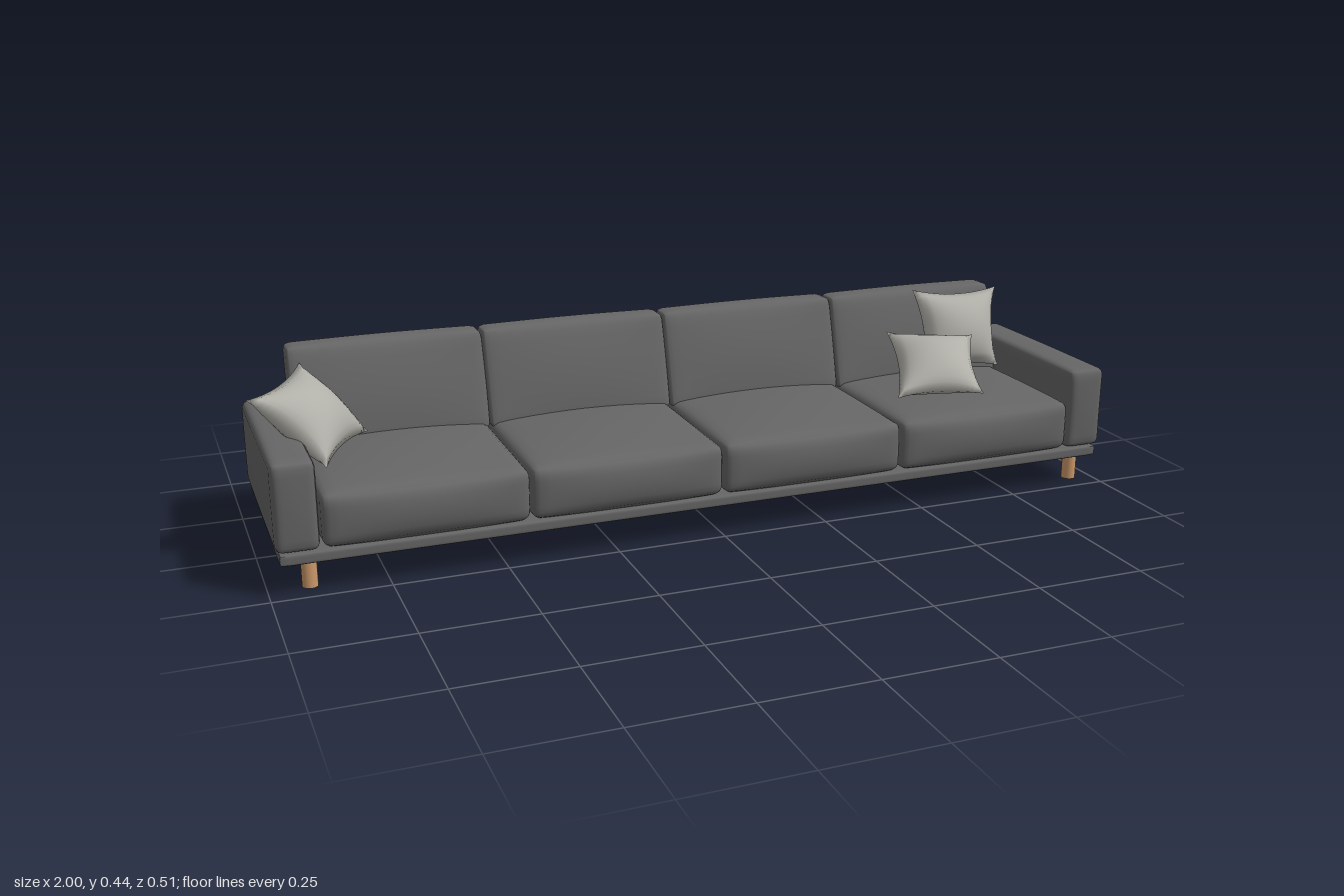
import * as THREE from 'three';
import { mergeVertices } from 'three/addons/utils/BufferGeometryUtils.js';

const fabric = new THREE.MeshStandardMaterial({ color: 0x666666 });
fabric.name = 'charcoal fabric';
const linen = new THREE.MeshStandardMaterial({ color: 0xb0afa8 });
linen.name = 'pale linen';
const wood = new THREE.MeshStandardMaterial({ color: 0xcd9a6b });
wood.name = 'light wood';

// Weld corners so that the normals run smoothly over the whole surface
function smooth(geo) {
  geo.deleteAttribute('uv');
  geo.deleteAttribute('normal');
  const g = mergeVertices(geo, 1e-5);
  g.computeVertexNormals();
  return g;
}

// Upholstered block between two corners: rounded edges, faces bulging by
// [bx, by, bz], and an optional backward lean (z shift per unit of height)
function upholstered(min, max, r, bulge, lean = 0) {
  const half = min.map((m, i) => (max[i] - m) / 2);
  const geo = new THREE.BoxGeometry(2, 2, 2, 16, 12, 16);
  const pos = geo.attributes.position;
  for (let i = 0; i < pos.count; i++) {
    // crowd the grid towards the edges
    const u = [pos.getX(i), pos.getY(i), pos.getZ(i)].map(t => Math.sin(t * Math.PI / 2));
    const p = u.map((t, k) => t * half[k]);
    const inner = p.map((t, k) => THREE.MathUtils.clamp(t, r - half[k], half[k] - r));
    const d = new THREE.Vector3(...p.map((t, k) => t - inner[k]));
    if (d.lengthSq() > 0) d.setLength(r);
    const q = [inner[0] + d.x, inner[1] + d.y, inner[2] + d.z];
    const fall = u.map(t => 1 - t * t);
    q[0] += bulge[0] * u[0] * fall[1] * fall[2];
    q[1] += bulge[1] * u[1] * fall[0] * fall[2];
    q[2] += bulge[2] * u[2] * fall[0] * fall[1] - lean * q[1];
    pos.setXYZ(i, ...q.map((t, k) => t + (min[k] + max[k]) / 2));
  }
  return smooth(geo);
}

// Throw pillow spanned by four corners: lower left, lower right, upper right, upper left
function pillow(corners, thickness, pinch = 0.14) {
  const [a, b, c, d] = corners.map(k => new THREE.Vector3(...k));
  const across = b.clone().sub(a).add(c).sub(d);
  const up = d.clone().sub(a).add(c).sub(b);
  const normal = across.cross(up).normalize();
  const geo = new THREE.BoxGeometry(2, 2, 2, 16, 16, 1);
  const pos = geo.attributes.position;
  for (let i = 0; i < pos.count; i++) {
    const u = pos.getX(i), v = pos.getY(i);
    const fu = Math.max(0, 1 - u * u), fv = Math.max(0, 1 - v * v);
    // edges curve in between the pointed corners
    const s = (u * (1 - pinch * fv) + 1) / 2, t = (v * (1 - pinch * fu) + 1) / 2;
    const low = a.clone().lerp(b, s), high = d.clone().lerp(c, s);
    const h = pos.getZ(i) * thickness / 2 * Math.pow(fu * fv, 0.6);
    const p = low.lerp(high, t).addScaledVector(normal, h);
    pos.setXYZ(i, p.x, p.y, p.z);
  }
  return smooth(geo);
}

export function createModel() {
  const model = new THREE.Group();
  model.name = 'sofa';
  const add = (name, geo, mat) => {
    const mesh = new THREE.Mesh(geo, mat);
    mesh.name = name;
    model.add(mesh);
    return mesh;
  };

  // Plinth and arms
  add('base', upholstered([-0.975, 0.068, -0.25], [0.983, 0.093, 0.24], 0.006, [0, 0, 0]), fabric);
  add('rightArm', upholstered([-0.982, 0.094, -0.25], [-0.89, 0.288, 0.24], 0.016, [0.003, 0.003, 0.004]), fabric);
  add('leftArm', upholstered([0.9, 0.094, -0.25], [0.994, 0.288, 0.24], 0.016, [0.003, 0.003, 0.004]), fabric);

  // Four bays of seat cushion, back cushion and back panel
  const seams = [-0.887, -0.442, 0.002, 0.447, 0.9];
  for (let i = 0; i < 4; i++) {
    const x0 = seams[i] + 0.001, x1 = seams[i + 1] - 0.001;
    add('seatCushion' + (i + 1), upholstered([x0, 0.094, -0.2], [x1, 0.213, 0.242], 0.022, [0.002, 0.018, 0.014]), fabric);
    add('backCushion' + (i + 1), upholstered([x0, 0.2, -0.188], [x1, 0.422, -0.122], 0.014, [0.002, 0.004, 0.012], 0.27), fabric);
    add('backPanel' + (i + 1), upholstered([x0, 0.094, -0.25], [x1, 0.323, -0.205], 0.012, [0, 0.002, 0.005]), fabric);
  }

  // Legs
  for (const x of [-0.912, 0.945]) {
    for (const z of [-0.195, 0.19]) {
      add('leg', new THREE.CylinderGeometry(0.017, 0.017, 0.07, 24), wood).position.set(x, 0.035, z);
    }
  }

  // Throw pillows
  add('cornerPillow', pillow([[-0.855, 0.235, 0.14], [-0.73, 0.24, -0.065], [-0.86, 0.39, -0.14], [-1.0, 0.38, 0.075]], 0.11), linen);
  add('uprightPillow', pillow([[0.655, 0.235, -0.035], [0.87, 0.235, -0.04], [0.895, 0.422, -0.115], [0.65, 0.435, -0.105]], 0.1), linen);
  add('lyingPillow', pillow([[0.49, 0.238, 0.135], [0.695, 0.24, 0.182], [0.765, 0.335, 0.0], [0.57, 0.34, -0.085]], 0.09), linen);

  return model;
}
